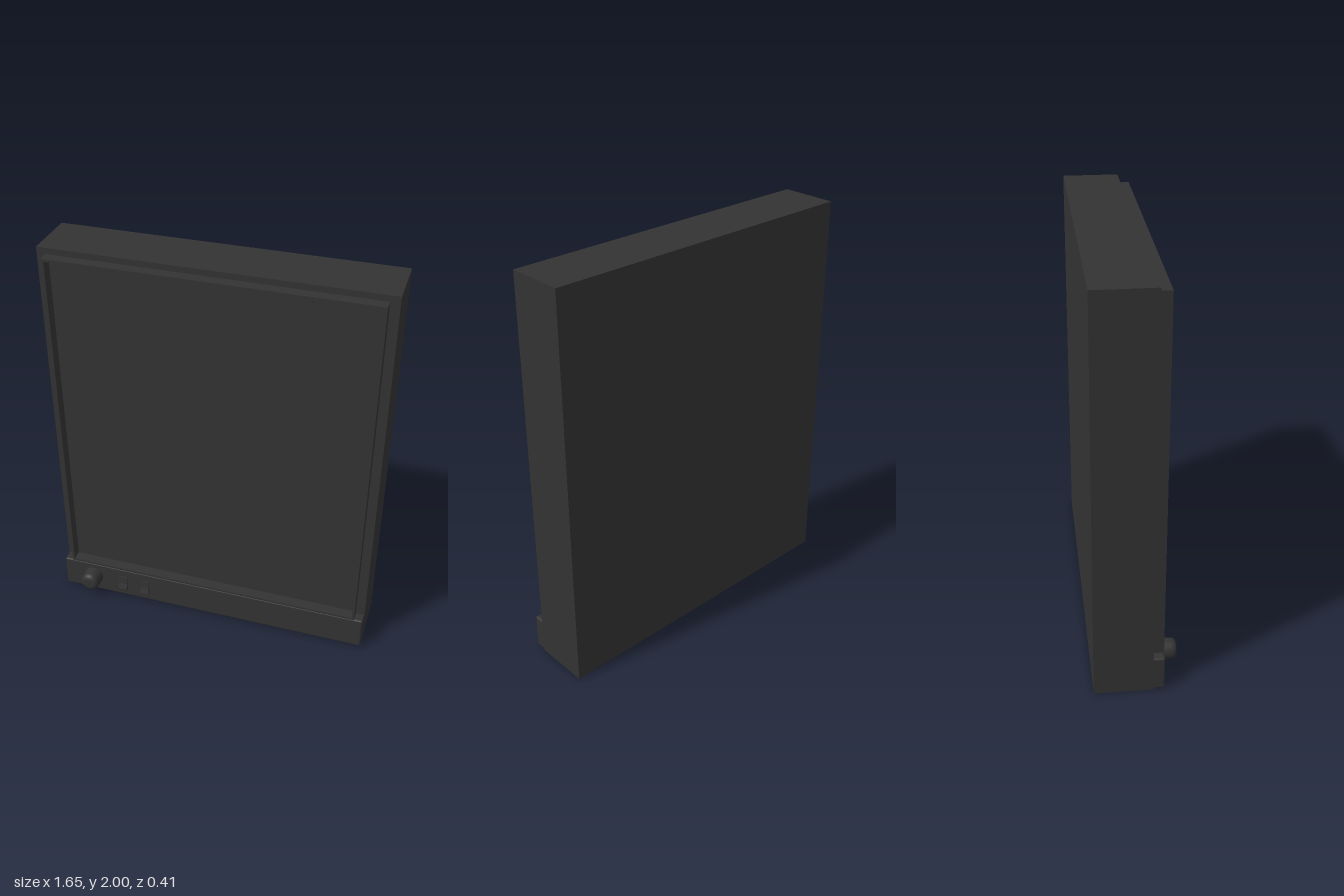
import * as THREE from 'three';
import { RoundedBoxGeometry } from 'three/addons/geometries/RoundedBoxGeometry.js';

const FRONT = 0.075; // front plane of the case
const LIP = 0.129;   // front plane of the frame and control panel

export function createModel() {
  const group = new THREE.Group();
  const dark = new THREE.MeshStandardMaterial({ color: 0x333333 });

  const add = (name, geometry, x = 0, y = 0, z = 0) => {
    const mesh = new THREE.Mesh(geometry, dark);
    mesh.name = name;
    mesh.position.set(x, y, z);
    group.add(mesh);
    return mesh;
  };
  const box = (name, x0, x1, y0, y1, z0, z1) =>
    add(name, new THREE.BoxGeometry(x1 - x0, y1 - y0, z1 - z0),
      (x0 + x1) / 2, (y0 + y1) / 2, (z0 + z1) / 2);

  // Flat upright case; its front face is the viewing screen
  box('case', -0.825, 0.825, 0, 2, -0.205, FRONT);

  // Thin raised frame around the screen
  const rect = (path, x, y0, y1) =>
    path.moveTo(-x, y0).lineTo(x, y0).lineTo(x, y1).lineTo(-x, y1).closePath();
  const frame = rect(new THREE.Shape(), 0.78, 0.18, 1.97);
  frame.holes.push(rect(new THREE.Path(), 0.768, 0.192, 1.958));
  add('screenFrame', new THREE.ExtrudeGeometry(frame, { depth: LIP - FRONT, bevelEnabled: false }), 0, 0, FRONT);

  // Film clips below the top of the frame
  for (const x of [-0.305, 0.355]) box('filmClip', x - 0.1, x + 0.1, 1.917, 1.958, FRONT - 0.002, FRONT + 0.005);

  // Control panel along the bottom, with softened edges
  add('controlPanel', new RoundedBoxGeometry(1.65, 0.175, 0.075, 2, 0.008), 0, 0.0925, LIP - 0.0375);

  // Round dimmer knob
  const profile = [[0.052, 0], [0.05, 0.05], [0.046, 0.066], [0.036, 0.074], [0.025, 0.076], [0, 0.076]]
    .map(([r, h]) => new THREE.Vector2(r, h));
  add('dimmerKnob', new THREE.LatheGeometry(profile, 40), -0.66, 0.1, LIP).rotation.x = Math.PI / 2;

  // Rocker switches: wedge side profile pushed out across the width
  const wedge = new THREE.Shape()
    .moveTo(0.01, -0.043).lineTo(0.01, 0.043).lineTo(-0.005, 0.043)
    .lineTo(-0.008, 0).lineTo(-0.019, -0.036).lineTo(-0.016, -0.043).closePath();
  for (const x of [-0.488, -0.362]) {
    const geometry = new THREE.ExtrudeGeometry(wedge, { depth: 0.046, bevelEnabled: false });
    geometry.translate(0, 0, -0.023).rotateY(Math.PI / 2);
    add('rockerSwitch', geometry, x, 0.092, LIP);
  }

  return group;
}
